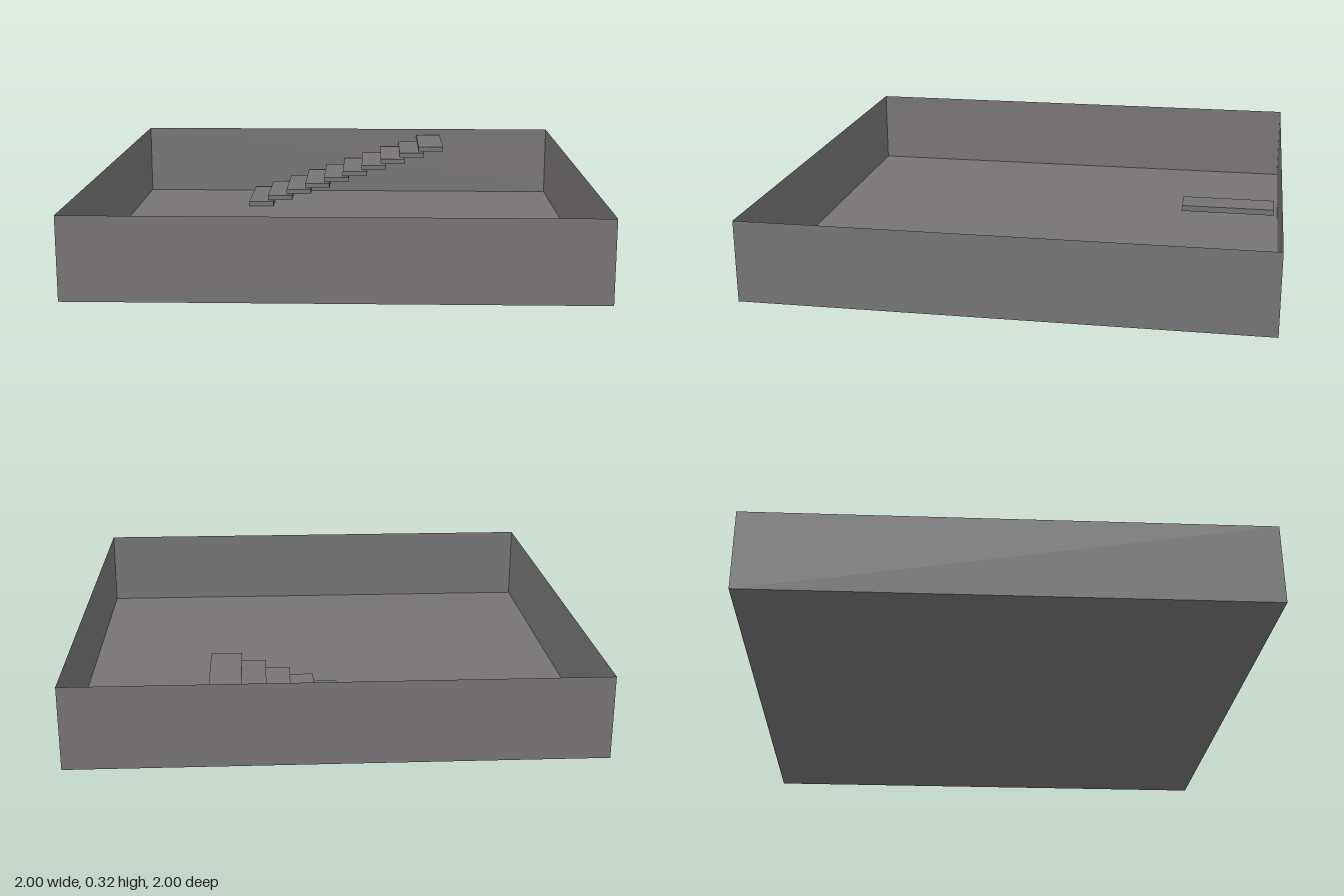
import * as THREE from 'three';

export function createModel() {
  const model = new THREE.Group();
  const stone = new THREE.MeshStandardMaterial({ color: 0x757374, side: THREE.DoubleSide });
  stone.name = 'stone grey';
  const wallHeight = 0.32;

  const add = (name, geometry, parent = model) => {
    const mesh = new THREE.Mesh(geometry, stone);
    mesh.name = name;
    parent.add(mesh);
    return mesh;
  };

  // Floor sheet
  add('floor', new THREE.PlaneGeometry(2, 2).rotateX(-Math.PI / 2));

  // Four paper-thin walls, facing outward
  ['frontWall', 'leftWall', 'backWall', 'rightWall'].forEach((name, i) => {
    const wall = new THREE.PlaneGeometry(2, wallHeight);
    wall.translate(0, wallHeight / 2, 1).rotateY(i * Math.PI / 2);
    add(name, wall);
  });

  // Open staircase of overlapping slabs along the back wall, rising to +x
  const stairs = new THREE.Group();
  stairs.name = 'staircase';
  model.add(stairs);
  const width = 0.117, thickness = 0.022, depth = 0.353;
  for (let i = 0; i < 10; i++) {
    const step = add(`step${i + 1}`, new THREE.BoxGeometry(width, thickness, depth), stairs);
    step.position.set(-0.465 + width / 2 + i * 0.0903, 0.013 + i * 0.03, -0.793);
  }
  return model;
}
